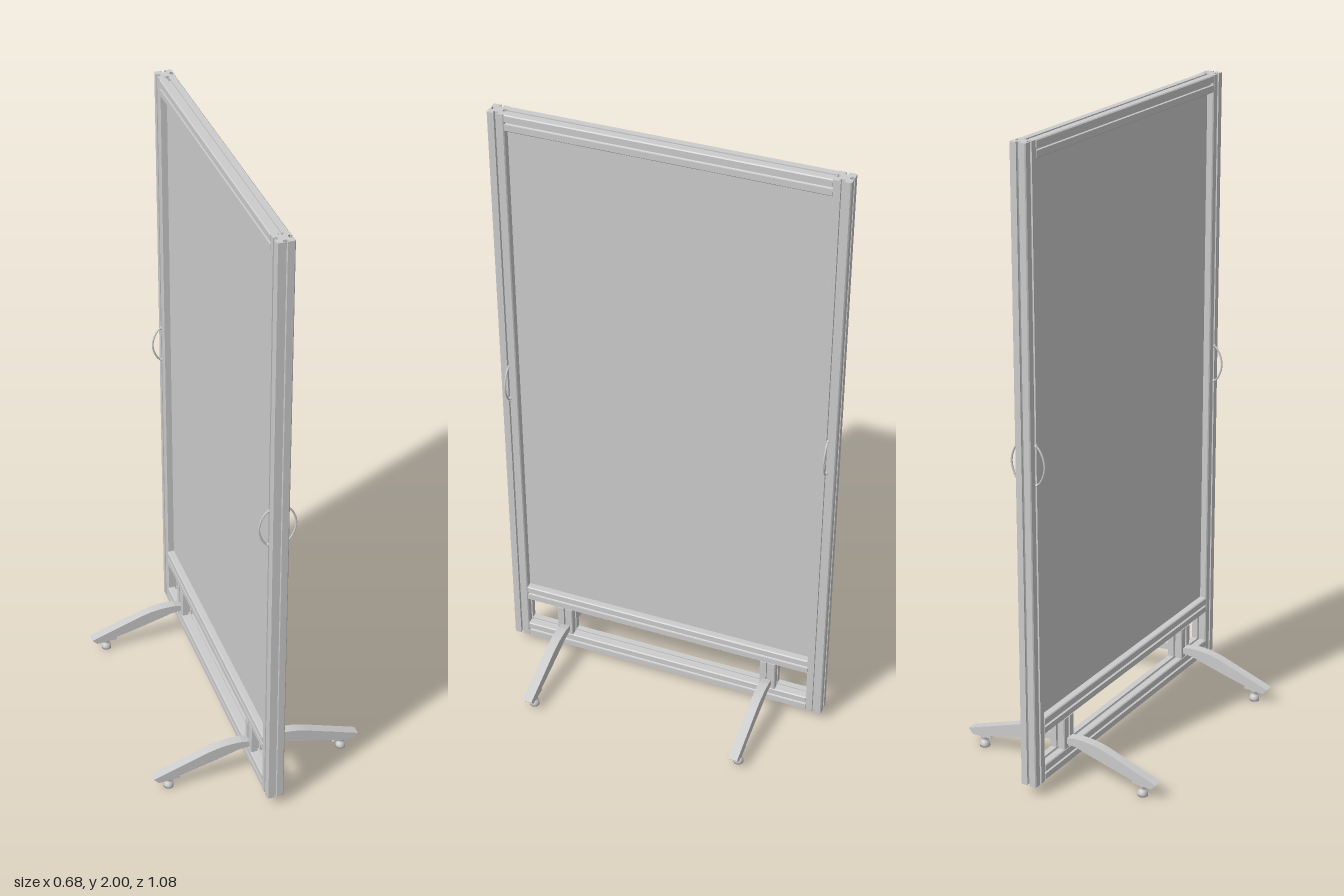
import * as THREE from 'three';

const grey = new THREE.MeshStandardMaterial({ color: 0xcccccc });
const W = 0.053; // width of the square slotted profile
const H = W / 2;

// Square profile with a T-slot in the middle of each side, corners chamfered
function slottedShape() {
  const side = [
    [H, -H + 0.003], [H, -0.004], [H - 0.004, -0.004], [H - 0.004, -0.009],
    [H - 0.012, -0.005], [H - 0.012, 0.005], [H - 0.004, 0.009],
    [H - 0.004, 0.004], [H, 0.004], [H, H - 0.003],
  ];
  const pts = [];
  for (let i = 0; i < 4; i++) {
    const a = (i * Math.PI) / 2, c = Math.cos(a), s = Math.sin(a);
    for (const [x, y] of side) pts.push(new THREE.Vector2(x * c - y * s, x * s + y * c));
  }
  return new THREE.Shape(pts);
}

// Prism of the given outline, centred along z
function prism(shape, length) {
  return new THREE.ExtrudeGeometry(shape, { depth: length, bevelEnabled: false, curveSegments: 8 })
    .translate(0, 0, -length / 2);
}

export function createModel() {
  const model = new THREE.Group();
  const add = (name, geometry, x, y, z, parent = model) => {
    const mesh = new THREE.Mesh(geometry, grey);
    mesh.name = name;
    mesh.position.set(x, y, z);
    parent.add(mesh);
    return mesh;
  };

  const profile = slottedShape();
  const postZ = 0.54 - H;
  const inner = postZ - H; // half-width between the posts
  const upright = (y0, y1) => prism(profile, y1 - y0).rotateX(-Math.PI / 2).translate(0, (y0 + y1) / 2, 0);

  // Horizontal rails
  const rail = prism(profile, inner * 2);
  add('topRail', rail, 0, 2 - H, 0);
  add('middleRail', rail, 0, 0.192 + H, 0);
  add('bottomRail', rail, 0, 0.035 + H, 0);

  // Infill panel held in the frame slots
  add('panel', new THREE.BoxGeometry(0.007, 1.72, inner * 2 + 0.014), 0, 1.096, 0);

  // Handle: shallow bow in the vertical plane, thicker at its ends
  const bow = new THREE.CatmullRomCurve3([
    [0.022, 1.003], [0.035, 1.01], [0.05, 1.035], [0.056, 1.065], [0.05, 1.095], [0.035, 1.12], [0.022, 1.127],
  ].map(([x, y]) => new THREE.Vector3(x, y, 0)));
  const bowGeometry = new THREE.TubeGeometry(bow, 32, 0.003, 8);
  const knobGeometry = new THREE.CylinderGeometry(0.005, 0.005, 0.012, 12).rotateZ(Math.PI / 2);

  // Arched leg outline, reaching out along +x
  const legShape = new THREE.Shape();
  legShape.moveTo(H - 0.002, 0.122);
  legShape.lineTo(0.05, 0.128);
  legShape.quadraticCurveTo(0.11, 0.132, 0.165, 0.114);
  legShape.lineTo(0.34, 0.053);
  legShape.lineTo(0.324, 0.035);
  legShape.lineTo(0.255, 0.038);
  legShape.lineTo(0.26, 0.046);
  legShape.quadraticCurveTo(0.15, 0.073, 0.06, 0.1);
  legShape.lineTo(H - 0.002, 0.103);
  const legGeometry = prism(legShape, 0.03);

  // Levelling foot: pad, neck and collar
  const footGeometry = new THREE.LatheGeometry([
    [0, 0], [0.016, 0], [0.016, 0.008], [0.013, 0.018], [0.007, 0.02], [0.007, 0.028], [0.012, 0.029], [0.012, 0.042], [0, 0.042],
  ].map(([r, y]) => new THREE.Vector2(r, y)), 20);

  for (const s of [1, -1]) {
    const end = s > 0 ? 'front' : 'back';
    add(end + 'Post', upright(0.035, 2), 0, 0, s * postZ);
    add(end + 'Strut', upright(0.088, 0.192), 0, 0, s * 0.354);

    for (const turn of [0, Math.PI]) {
      const sideName = turn ? 'Right' : 'Left';

      const handle = new THREE.Group();
      handle.name = end + sideName + 'Handle';
      handle.position.z = s * postZ;
      handle.rotation.y = turn;
      add('bow', bowGeometry, 0, 0, 0, handle);
      for (const y of [1.006, 1.124]) add('handleMount', knobGeometry, 0.026, y, 0, handle);
      model.add(handle);

      const leg = new THREE.Group();
      leg.name = end + sideName + 'Leg';
      leg.position.z = s * 0.353;
      leg.rotation.y = turn;
      add('legArm', legGeometry, 0, 0, 0, leg);
      add('levellingFoot', footGeometry, 0.288, 0, turn ? 0.002 : -0.002, leg);
      model.add(leg);
    }
  }
  return model;
}
